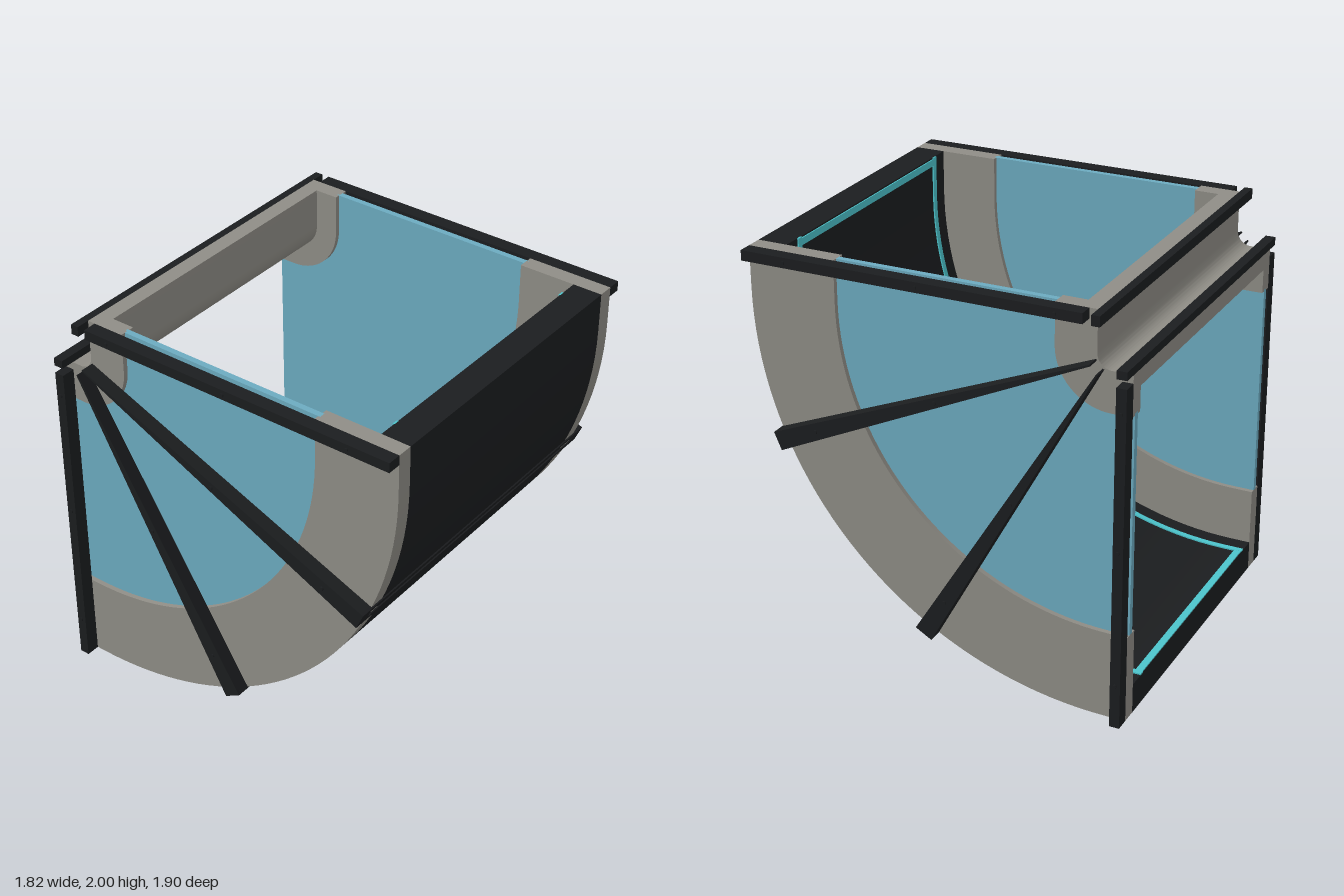
import * as THREE from 'three';
import { toCreasedNormals } from 'three/addons/utils/BufferGeometryUtils.js';

const mat = (color) => new THREE.MeshStandardMaterial({ color, side: THREE.DoubleSide });

// Bend axis (z, y) and the shared end planes
const CZ = -0.85, CY = 1.8, TOP = 2, BACK = -0.95;
const SEAMS = [23.6, 60].map(THREE.MathUtils.degToRad);

// Points of a quarter bend of radius r, with short straight ends; shape x is -z
function bendLine(r, n = 40) {
  const pts = [new THREE.Vector2(-CZ - r, TOP)];
  for (let i = 0; i <= n; i++) {
    const a = (i / n) * Math.PI / 2;
    pts.push(new THREE.Vector2(-CZ - r * Math.cos(a), CY - r * Math.sin(a)));
  }
  pts.push(new THREE.Vector2(-BACK, CY - r));
  return pts;
}

export function createModel() {
  const group = new THREE.Group();
  const black = mat(0x1b1d1f), grey = mat(0x8f8d86), glass = mat(0x6cabc0), cyan = mat(0x4cc4cc);

  function add(name, geo, material) {
    const mesh = new THREE.Mesh(geo, material);
    mesh.name = name;
    group.add(mesh);
    return mesh;
  }

  // Extrudes a (-z, y) outline from x0 to x1
  function slab(name, pts, x0, x1, material) {
    const geo = new THREE.ExtrudeGeometry(new THREE.Shape(pts), { depth: x1 - x0, bevelEnabled: false });
    geo.translate(0, 0, x0);
    geo.rotateY(Math.PI / 2);
    return add(name, toCreasedNormals(geo, 0.4), material);
  }

  const bend = (name, r0, r1, x0, x1, material) =>
    slab(name, [...bendLine(r1), ...bendLine(r0).reverse()], x0, x1, material);

  // Box from min and max corners
  function box(name, x0, x1, y0, y1, z0, z1, material) {
    const geo = new THREE.BoxGeometry(x1 - x0, y1 - y0, z1 - z0);
    geo.translate((x0 + x1) / 2, (y0 + y1) / 2, (z0 + z1) / 2);
    return add(name, geo, material);
  }

  // Point at radius r and angle a, moved sideways by s; as (-z, y)
  const polar = (r, a, s = 0) => new THREE.Vector2(
    -CZ - r * Math.cos(a) + s * Math.sin(a), CY - r * Math.sin(a) - s * Math.cos(a));

  // Outer floor wall and inner corner wall
  bend('outerWall', 1.65, 1.8, -0.755, 0.755, black);
  bend('innerWall', 0.07, 0.15, -0.755, 0.755, grey);

  // Cross strip lying on the floor wall between the light lines
  function crossStrip(y, z, angle) {
    const strip = add('crossLight', new THREE.BoxGeometry(1.3, 0.035, 0.012), cyan);
    strip.position.set(0, y, z);
    strip.rotation.x = angle;
  }
  crossStrip(1.975, CZ + 1.65, 0);
  crossStrip(CY - 1.65, BACK + 0.02, Math.PI / 2);

  for (const a of SEAMS) {
    const p = polar(1.65, a);
    crossStrip(p.y, -p.x, a);
    // Paired seam bands around the outer wall
    for (const s of [-0.034, 0.034]) {
      const pts = [polar(1.79, a, s - 0.013), polar(1.806, a, s - 0.013),
        polar(1.806, a, s + 0.013), polar(1.79, a, s + 0.013)];
      slab('seamBand', pts, -0.9, 0.9, black);
    }
  }

  for (const side of [-1, 1]) {
    const span = (a, b) => (side > 0 ? [a, b] : [-b, -a]);
    const wall = span(0.755, 0.835), flange = span(0.835, 0.905);

    // Side frame and window
    bend('outerSideFrame', 1.36, 1.8, ...wall, grey);
    bend('innerSideFrame', 0.07, 0.27, ...wall, grey);
    bend('sideWindow', 0.26, 1.37, ...span(0.78, 0.81), glass);
    bend('lightLine', 1.643, 1.652, ...span(0.635, 0.665), cyan);

    // End flanges
    box('topFlange', ...flange, 1.95, 2, -0.74, 0.95, black);
    box('backFlange', ...flange, 0, 1.69, -0.95, -0.9, black);

    // Tapered ribs along the seams
    for (const a of SEAMS) {
      const pts = [polar(0.08, a, -0.004), polar(1.806, a, -0.047),
        polar(1.806, a, 0.047), polar(0.08, a, 0.004)];
      slab('sideRib', pts, ...flange, black);
    }

    // Bolts on flanges and ribs, as (-z, y)
    const bolts = [polar(0.9, SEAMS[0]), polar(1.58, SEAMS[0]), polar(0.9, SEAMS[1]), polar(1.58, SEAMS[1])];
    for (const z of [0.73, 0.06, -0.61]) bolts.push(new THREE.Vector2(-z, 1.975));
    for (const y of [1.57, 0.9, 0.22]) bolts.push(new THREE.Vector2(0.925, y));
    for (const p of bolts) {
      const bolt = add('bolt', new THREE.CylinderGeometry(0.009, 0.009, 0.012, 8), black);
      bolt.rotation.z = Math.PI / 2;
      bolt.position.set(side * 0.906, p.y, -p.x);
    }
  }

  // Cross bars at the two inner ends
  box('topCrossBar', -0.905, 0.905, 1.95, 2, -0.82, -0.78, black);
  box('backCrossBar', -0.905, 0.905, 1.73, 1.77, -0.95, -0.9, black);

  return group;
}
